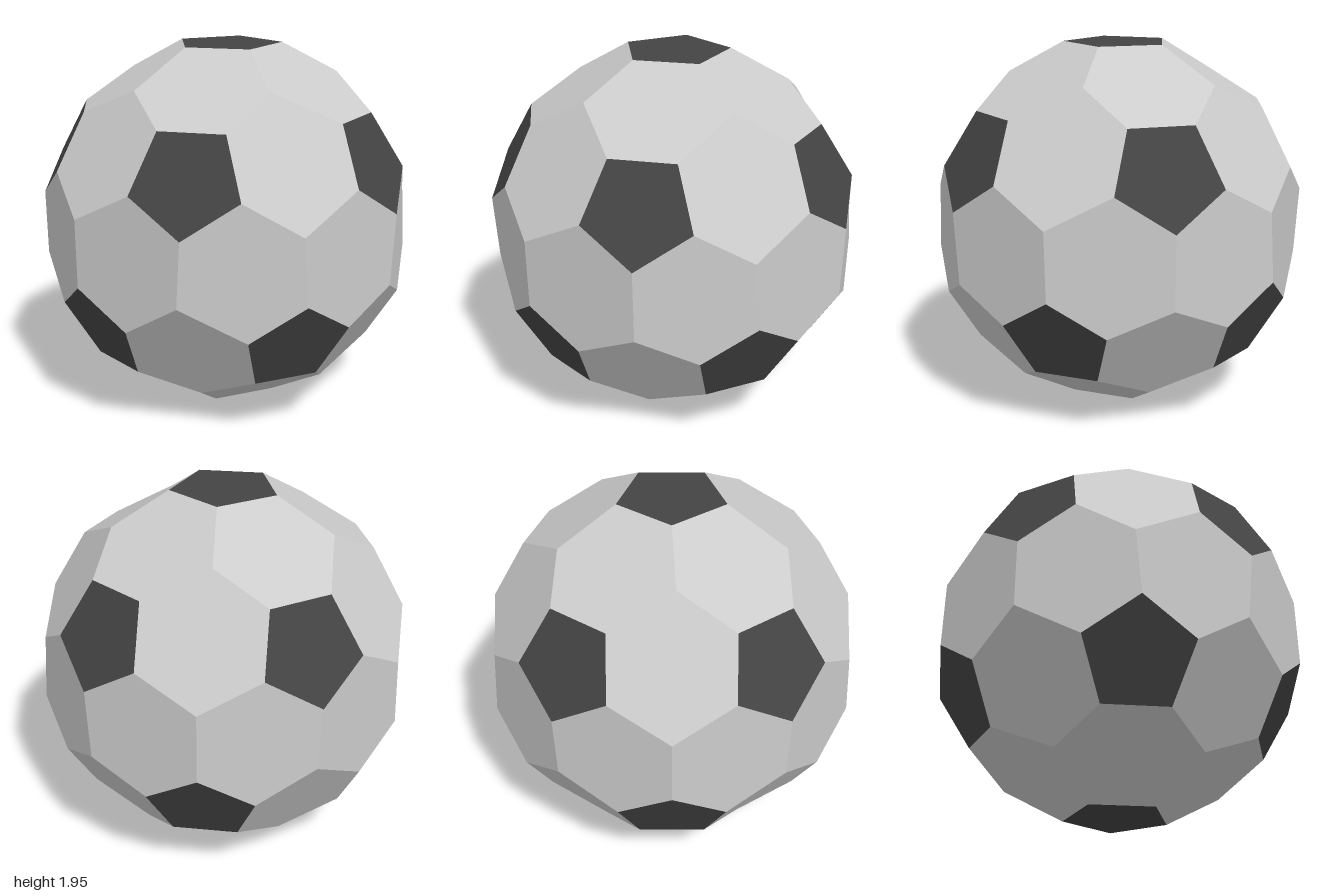
import * as THREE from 'three';

const V = (x, y, z) => new THREE.Vector3(x, y, z);
const REACH = 0.9725;   // centre of the ball to the middle of a pentagon
const PENT_R = 0.291;   // middle of a pentagon to its corners

// Twelve pentagon directions: two poles and two staggered rings of five
function pentagonAxes() {
  const axes = [V(0, 1, 0), V(0, -1, 0)];
  const y = 1 / Math.sqrt(5), r = 2 * y;
  for (let i = 0; i < 5; i++) {
    const a = i * Math.PI * 0.4, b = a + Math.PI * 0.2;
    axes.push(V(r * Math.cos(a), y, r * Math.sin(a)));
    axes.push(V(r * Math.cos(b), -y, r * Math.sin(b)));
  }
  return axes;
}

// Slightly uneven corners where three hexagons meet, in rings from top to bottom
const joints = [
  [0.46, 1.78, 0.37], [-0.2, 1.755, 0.58], [-0.6, 1.78, 0.02], [-0.21, 1.76, -0.57], [0.46, 1.78, -0.38],
  [0.79, 1.15, 0.6], [-0.33, 1.15, 0.93], [-0.99, 1.15, 0], [-0.3, 1.16, -0.93], [0.8, 1.15, -0.56],
  [0.98, 0.76, 0], [0.28, 0.8, 0.94], [-0.81, 0.8, 0.58], [-0.79, 0.79, -0.58], [0.3, 0.76, -0.94],
  [0.6, 0.17, 0.02], [0.2, 0.2, 0.6], [-0.5, 0.2, 0.36], [-0.5, 0.18, -0.36], [0.19, 0.18, -0.58],
].map(([x, y, z]) => V(x, y - REACH, z));

// The joint lying nearest to the middle of three neighbouring pentagons
function jointBetween(a, b, c) {
  const dir = a.clone().add(b).add(c).normalize();
  return joints.reduce((best, j) => (j.dot(dir) > best.dot(dir) ? j : best));
}

// Corner of pentagon a that points between pentagons b and c
function pentCorner(a, b, c) {
  const out = a.clone().add(b).add(c).projectOnPlane(a).setLength(PENT_R);
  return out.addScaledVector(a, REACH);
}

// Sorts the corners of a panel counter-clockwise as seen from outside
function sortAround(corners, axis) {
  const u = corners[0].clone().projectOnPlane(axis).normalize();
  const w = axis.clone().cross(u);
  const angle = (p) => Math.atan2(p.dot(w), p.dot(u));
  return [...corners].sort((p, q) => angle(p) - angle(q));
}

// All panels of one colour as one mesh, each panel with a single flat normal
function panelMesh(name, panels, color) {
  const pos = [], nor = [];
  for (const { corners, axis } of panels) {
    const ring = sortAround(corners, axis), n = ring.length;
    const mid = V(0, 0, 0), normal = V(0, 0, 0);
    ring.forEach((p, i) => {
      mid.addScaledVector(p, 1 / n);
      normal.add(p.clone().cross(ring[(i + 1) % n]));
    });
    normal.normalize();
    ring.forEach((p, i) => {
      for (const q of [mid, p, ring[(i + 1) % n]]) {
        pos.push(q.x, q.y, q.z);
        nor.push(normal.x, normal.y, normal.z);
      }
    });
  }
  const geo = new THREE.BufferGeometry();
  geo.setAttribute('position', new THREE.Float32BufferAttribute(pos, 3));
  geo.setAttribute('normal', new THREE.Float32BufferAttribute(nor, 3));
  const mesh = new THREE.Mesh(geo, new THREE.MeshStandardMaterial({ color }));
  mesh.name = name;
  mesh.position.y = REACH;
  return mesh;
}

export function createModel() {
  const axes = pentagonAxes();
  const touches = (a, b) => Math.abs(a.dot(b) - 1 / Math.sqrt(5)) < 0.01;
  const pentagons = [], hexagons = [];

  axes.forEach((a, i) => {
    // Pentagon: one corner for each pair of neighbours that touch each other
    const near = axes.filter((b) => touches(a, b));
    const corners = [];
    near.forEach((b, k) => near.slice(k + 1).forEach((c) => {
      if (touches(b, c)) corners.push(pentCorner(a, b, c));
    }));
    pentagons.push({ corners, axis: a });

    // Hexagon between this pentagon and each later neighbour
    axes.slice(i + 1).filter((b) => touches(a, b)).forEach((b) => {
      const shared = near.filter((c) => touches(b, c));
      hexagons.push({
        corners: shared.flatMap((c) => [pentCorner(a, b, c), jointBetween(a, b, c), pentCorner(b, a, c)]),
        axis: a.clone().add(b).normalize(),
      });
    });
  });

  const ball = new THREE.Group();
  ball.name = 'ball';
  ball.add(panelMesh('hexagonPanels', hexagons, 0xcccccc));
  ball.add(panelMesh('pentagonPanels', pentagons, 0x444444));
  return ball;
}
